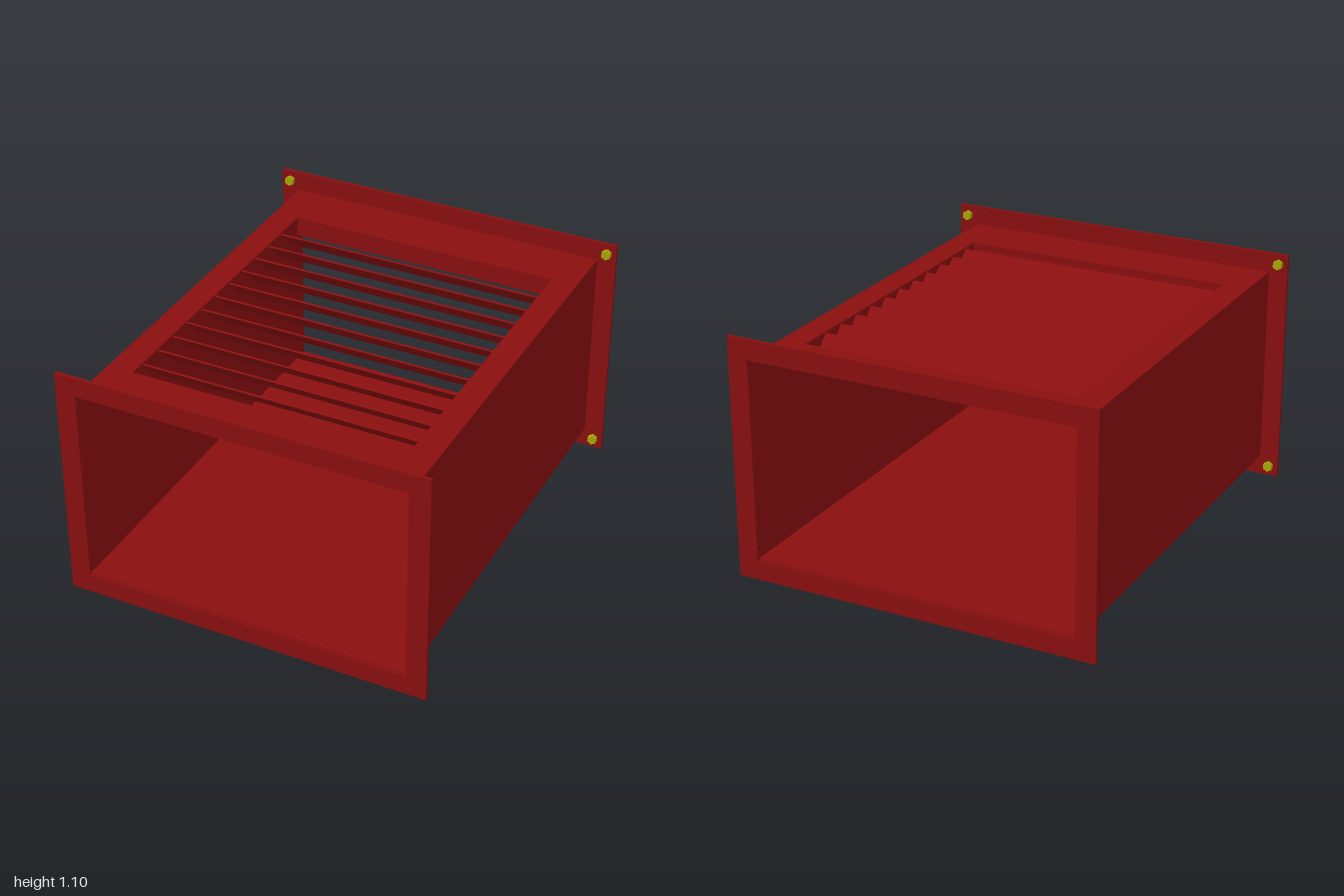
import * as THREE from 'three';

const red = new THREE.MeshStandardMaterial({ color: 0x8b0f0f });
const yellow = new THREE.MeshStandardMaterial({ color: 0xa8a808 });

const W = 0.752, BOTTOM = 0.09, TOP = 1.005; // duct outline
const T = 0.006; // sheet thickness
const MID = (BOTTOM + TOP) / 2;
const HOLE_X = 0.637, HOLE_Z = 0.738; // louvre opening

function add(parent, name, geometry, material, x = 0, y = 0, z = 0) {
  const mesh = new THREE.Mesh(geometry, material);
  mesh.name = name;
  mesh.position.set(x, y, z);
  parent.add(mesh);
  return mesh;
}

// Rectangular plate with a rectangular hole, extruded along z
function framePlate(halfW, halfH, holeW, holeH, depth) {
  const corners = (w, h) => [[-w, -h], [w, -h], [w, h], [-w, h]].map(p => new THREE.Vector2(...p));
  const shape = new THREE.Shape(corners(halfW, halfH));
  shape.holes.push(new THREE.Path(corners(holeW, holeH).reverse()));
  return new THREE.ExtrudeGeometry(shape, { depth, bevelEnabled: false }).translate(0, 0, -depth / 2);
}

export function createModel() {
  const model = new THREE.Group();
  model.name = 'louvredDuct';

  // Sheet walls of the duct
  const duct = new THREE.Group();
  duct.name = 'duct';
  model.add(duct);
  const length = 1.98;
  add(duct, 'floor', new THREE.BoxGeometry(2 * W, T, length), red, 0, BOTTOM + T / 2, 0);
  for (const s of [-1, 1]) {
    add(duct, s > 0 ? 'leftWall' : 'rightWall',
      new THREE.BoxGeometry(T, TOP - BOTTOM - 2 * T, length), red, s * (W - T / 2), MID, 0);
  }
  const roof = framePlate(W, length / 2, HOLE_X, HOLE_Z, T);
  roof.rotateX(-Math.PI / 2);
  add(duct, 'roof', roof, red, 0, TOP - T / 2, 0);

  // Louvre: shallow rim below the roof opening, with tilted slats
  const louvre = new THREE.Group();
  louvre.name = 'louvre';
  model.add(louvre);
  const rimHeight = 0.09;
  const rim = framePlate(HOLE_X + 0.001, HOLE_Z + 0.002, HOLE_X - 0.004, HOLE_Z - 0.003, rimHeight);
  rim.rotateX(-Math.PI / 2);
  add(louvre, 'rim', rim, red, 0, TOP - 0.001 - rimHeight / 2, 0);
  const slat = new THREE.BoxGeometry(2 * HOLE_X - 0.004, 0.008, 0.132);
  for (let i = 0; i < 11; i++) {
    // Front edge high, back edge low
    add(louvre, 'slat', slat, red, 0, 0.95, -0.622 + i * 0.123).rotation.x = -Math.PI / 4;
  }

  // End flanges with hexagonal bolts on their inner faces
  const flange = framePlate(0.84, 0.5475, 0.747, 0.4575, 0.015);
  const bolt = new THREE.CylinderGeometry(0.023, 0.023, 0.024, 6).rotateX(Math.PI / 2).toNonIndexed();
  bolt.computeVertexNormals();
  for (const s of [1, -1]) {
    const end = new THREE.Group();
    end.name = s > 0 ? 'frontFlange' : 'backFlange';
    model.add(end);
    add(end, 'flangePlate', flange, red, 0, 0.5475, s * 0.9925);
    for (const x of [-0.797, 0.797]) {
      for (const y of [0.048, 1.048]) add(end, 'bolt', bolt, yellow, x, y, s * 0.974);
    }
  }
  return model;
}
